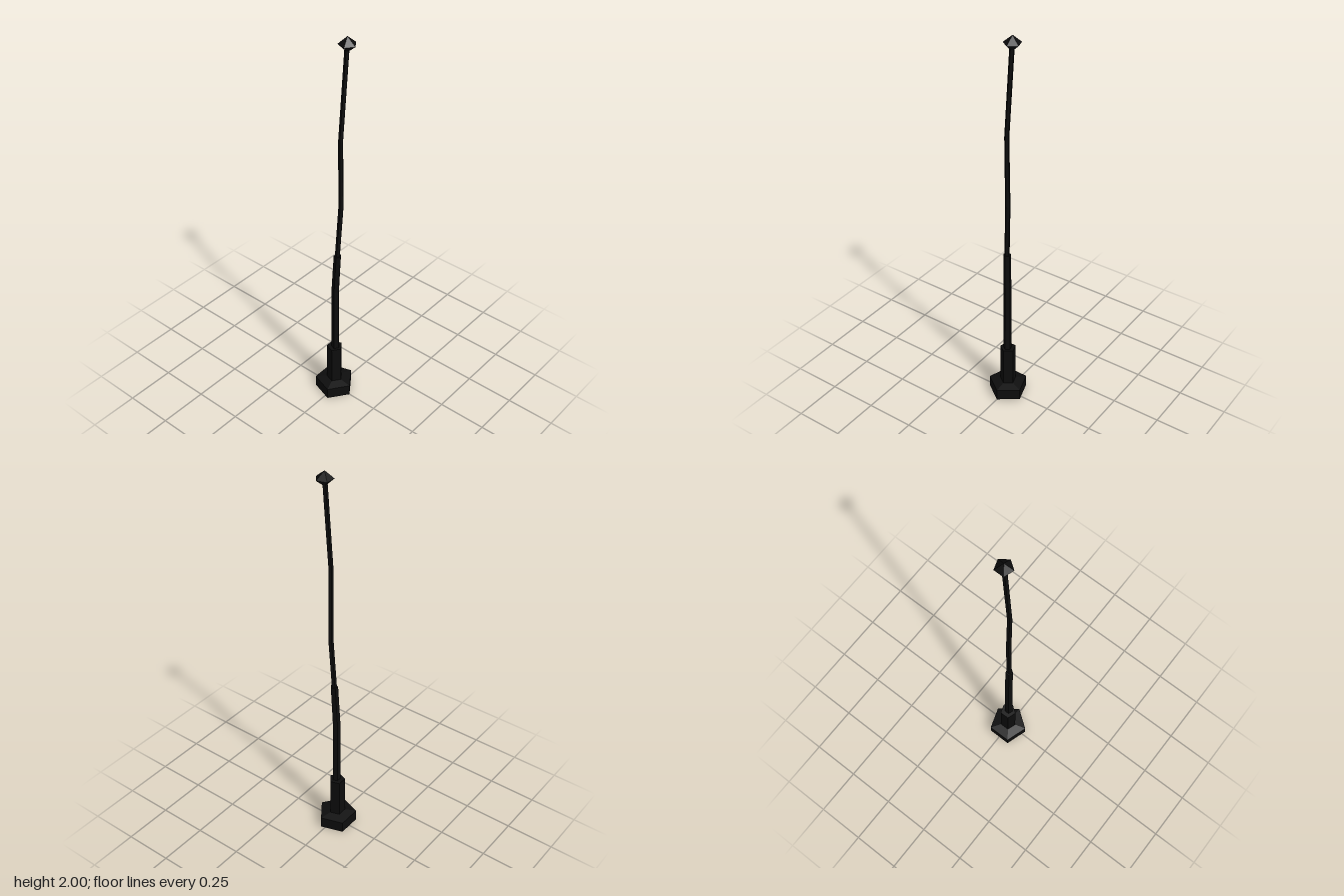
import * as THREE from 'three';

const SIDES = 5;

// Skins a stack of level five-sided rings [x, y, z, radius], bottom to top; radius 0 closes an end.
function loft(name, rings, material) {
  const pos = [];
  const corner = ([x, y, z, r], i) => {
    const a = (i / SIDES) * Math.PI * 2;
    return [x + r * Math.cos(a), y, z - r * Math.sin(a)];
  };
  for (let k = 0; k < rings.length - 1; k++) {
    const lo = rings[k], hi = rings[k + 1];
    for (let i = 0; i < SIDES; i++) {
      const a = corner(lo, i), b = corner(lo, i + 1);
      const c = corner(hi, i + 1), d = corner(hi, i);
      if (lo[3] > 0) pos.push(...a, ...b, ...c);
      if (hi[3] > 0) pos.push(...a, ...c, ...d);
    }
  }
  const geometry = new THREE.BufferGeometry();
  geometry.setAttribute('position', new THREE.Float32BufferAttribute(pos, 3));
  geometry.computeVertexNormals();
  const mesh = new THREE.Mesh(geometry, material);
  mesh.name = name;
  return mesh;
}

// Adds flat caps to both ends of a ring stack.
function capped(rings) {
  const first = rings[0], last = rings[rings.length - 1];
  return [[...first.slice(0, 3), 0], ...rings, [...last.slice(0, 3), 0]];
}

export function createModel() {
  const group = new THREE.Group();
  group.name = 'antenna';
  const black = new THREE.MeshStandardMaterial({ color: 0x0d0d0d, flatShading: true });
  const cx = -0.01;

  // Mounting foot with a slightly sloping top
  group.add(loft('base', [[cx, 0, 0, 0], [cx, 0, 0, 0.1], [cx, 0.06, 0, 0.1], [cx, 0.076, 0, 0]], black));

  // Socket holding the pole
  group.add(loft('collar', capped([[cx, 0.05, 0, 0.041], [cx, 0.28, 0, 0.041]]), black));

  // Thick lower section, bending near its top
  group.add(loft('lowerPole', capped([
    [-0.005, 0.26, 0, 0.021], [-0.005, 0.64, 0, 0.02], [0.005, 0.86, -0.004, 0.019],
  ]), black));

  // Thin whip with gentle kinks
  group.add(loft('upperPole', capped([
    [0.004, 0.84, -0.003, 0.013], [0.016, 1.14, -0.016, 0.013],
    [0.017, 1.5, -0.011, 0.012], [0.024, 1.96, -0.044, 0.012],
  ]), black));

  // Faceted tip
  group.add(loft('tip', [
    [0.024, 1.926, -0.043, 0], [0.024, 1.963, -0.045, 0.043], [0.023, 2, -0.045, 0],
  ], black));

  return group;
}
